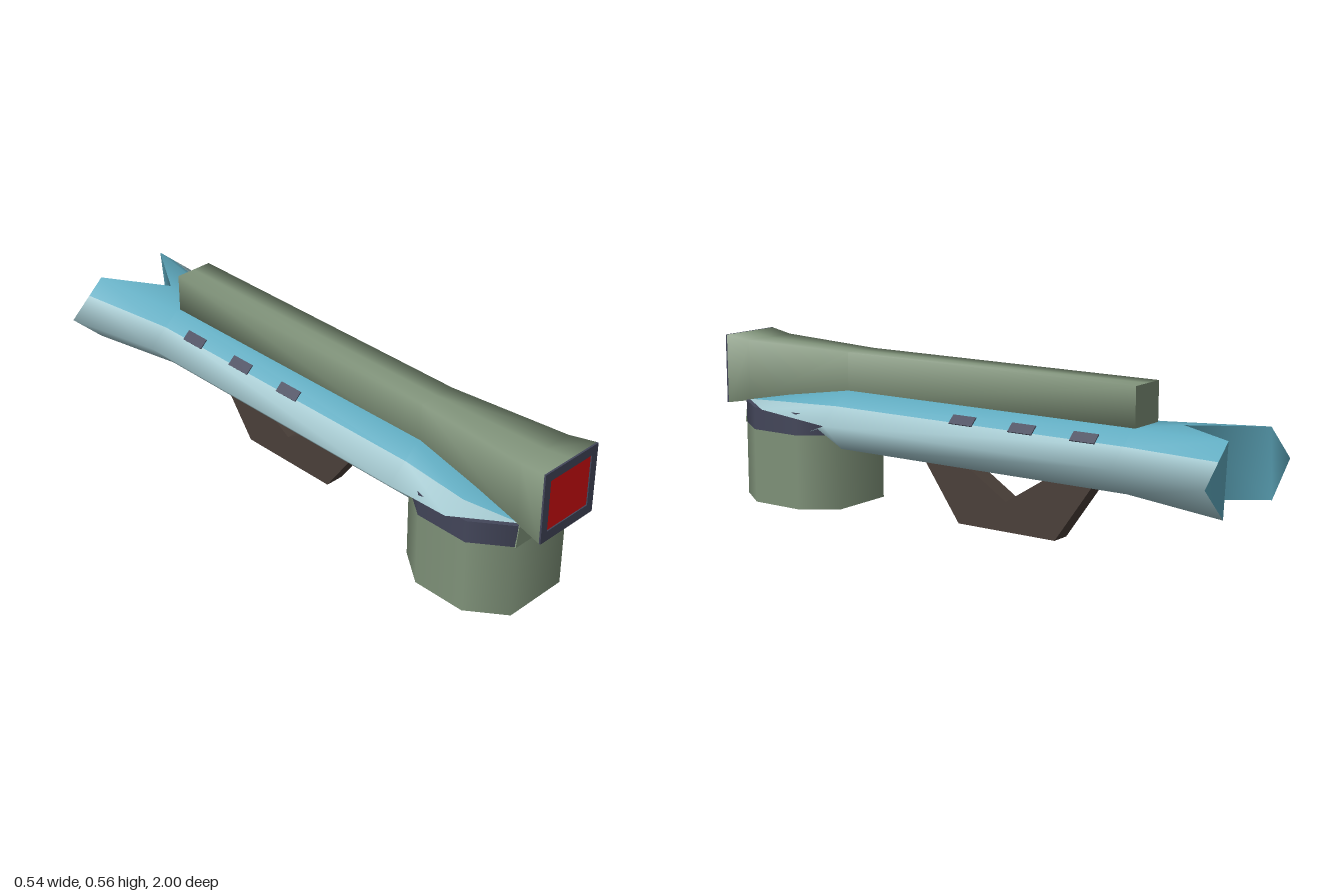
import * as THREE from 'three';
import { mergeVertices } from 'three/addons/utils/BufferGeometryUtils.js';

const mat = (name, color) => Object.assign(new THREE.MeshStandardMaterial({ color }), { name });

// Triangles between cross-sections running from back to front, outline listed top to bottom on the +x side
function loft(rows) {
  const tris = [];
  for (let s = 0; s < rows.length - 1; s++) {
    for (let i = 0; i < rows[s].length - 1; i++) {
      const a = rows[s][i], b = rows[s][i + 1], c = rows[s + 1][i + 1], d = rows[s + 1][i];
      tris.push([a, d, c], [a, c, b]);
    }
  }
  return tris;
}

// Mirrors each batch of triangles in x and joins them smoothly, one material per batch
function mirroredMesh(name, batches) {
  const pos = [], g = new THREE.BufferGeometry();
  batches.forEach(([tris], k) => {
    const start = pos.length / 3;
    for (const [a, b, c] of tris) {
      pos.push(...a, ...b, ...c);
      for (const p of [a, c, b]) pos.push(-p[0], p[1], p[2]);
    }
    g.addGroup(start, pos.length / 3 - start, k);
  });
  g.setAttribute('position', new THREE.Float32BufferAttribute(pos, 3));
  const merged = mergeVertices(g, 1e-4);
  merged.computeVertexNormals();
  const mesh = new THREE.Mesh(merged, batches.map((b) => b[1]));
  mesh.name = name;
  return mesh;
}

export function createModel() {
  const group = new THREE.Group();
  const blue = mat('blue', 0x5faabf), pale = mat('paleBlue', 0xa2c6cd), green = mat('green', 0x80937a);
  const dark = mat('darkSlate', 0x43465a), brown = mat('brown', 0x4a3f39), red = mat('red', 0xd40f10);
  const add = (name, geo, m, x = 0, y = 0, z = 0) => {
    const mesh = new THREE.Mesh(geo, m);
    mesh.name = name;
    mesh.position.set(x, y, z);
    group.add(mesh);
    return mesh;
  };

  // Hull: six-sided section with a forked tail and a pointed snout
  const sections = [
    // z, centre z, top half width, top y, side half width, side y, bottom half width, bottom y
    [-1, -0.78, 0.135, 0.42, 0.27, 0.3, 0.155, 0.19],
    [-0.65, -0.65, 0.085, 0.405, 0.2, 0.302, 0.11, 0.21],
    [0.48, 0.48, 0.085, 0.405, 0.2, 0.302, 0.11, 0.21],
    [0.73, 0.73, 0.09, 0.368, 0.23, 0.336, 0, 0],
    [0.91, 0.91, 0.1, 0.336, 0.1, 0.336, 0, 0],
  ];
  const mix = (a, b, t) => a + (b - a) * t;
  const seam = ([z, , a, yt, w, ys]) => [mix(a, w, 0.43), mix(yt, ys, 0.43), z];
  const side = (s) => [s[4], s[5], s[0]];
  const topRows = sections.map((s) => [[0, s[3], s[1]], [s[2], s[3], s[0]], seam(s)]);
  const flankRows = sections.map((s) => [seam(s), side(s)]);
  const bellyRows = sections.slice(0, 3).map((s) => [side(s), [s[6], s[7], s[0]], [0, s[7], s[1]]]);
  bellyRows.push([[0.175, 0.257, 0.6], [0.12, 0.257, 0.6], [0, 0.257, 0.6]]);
  group.add(mirroredMesh('hull', [
    [loft(topRows), blue],
    [[...loft(flankRows), ...loft(bellyRows)], pale],
  ]));

  // Inner faces and tips of the forked tail
  const [t0, t1] = topRows[0], [s1, b1, b0] = bellyRows[0];
  group.add(mirroredMesh('tailFork', [[[[t0, t1, b1], [t0, b1, b0], [t1, s1, b1]], blue]]));

  // Underside of the snout
  const jawRows = sections.slice(2).map((s) => [side(s), [0, s[5], s[0]]]);
  group.add(mirroredMesh('snoutUnderside', [[loft(jawRows), dark]]));

  // Windows on the sloping shoulders
  const slope = Math.atan2(0.103, 0.115);
  for (const sx of [-1, 1]) {
    for (const z of [-0.045, -0.275, -0.505]) {
      const w = add('window', new THREE.BoxGeometry(0.037, 0.006, 0.09), dark, sx * 0.126, 0.369, z);
      w.rotation.z = -sx * slope;
    }
  }

  // Eight-sided drum and its dark collar
  const drum = (h) => {
    const g = new THREE.CylinderGeometry(0.21, 0.21, h, 8, 1, false, Math.PI / 8);
    const p = g.attributes.position;
    const snap = (v, inner, outer) =>
      Math.abs(v) < 0.01 ? 0 : Math.sign(v) * (Math.abs(v) > 0.13 ? outer : inner);
    for (let i = 0; i < p.count; i++) {
      p.setX(i, snap(p.getX(i), 0.115, 0.203));
      p.setZ(i, snap(p.getZ(i), 0.095, 0.215));
    }
    return g;
  };
  add('drum', drum(0.257), green, 0, 0.1285, 0.695);
  add('collar', drum(0.077), dark, 0, 0.2955, 0.695);
  const plate = new THREE.Shape([[-0.119, 0], [0.119, 0], [0.108, 0.077], [-0.108, 0.077]]
    .map((p) => new THREE.Vector2(...p)));
  add('collarFrontPlate', new THREE.ExtrudeGeometry(plate, { depth: 0.004, bevelEnabled: false }),
    green, 0, 0.257, 0.909);

  // Square barrel flaring towards the muzzle
  const barrelRows = [
    // z, half width, top, bottom
    [-0.65, 0.068, 0.535, 0.39],
    [0.48, 0.068, 0.535, 0.38],
    [0.9, 0.106, 0.545, 0.333],
    [0.994, 0.118, 0.559, 0.317],
  ].map(([z, w, t, b]) => [[0, t, z], [w, t, z], [w, b, z], [0, b, z]]);
  group.add(mirroredMesh('barrel', [[loft(barrelRows), green]]));
  const [e0, e1, e2, e3] = barrelRows[0];
  group.add(mirroredMesh('barrelEnd', [[[[e0, e1, e2], [e0, e2, e3]], green]]));

  // Muzzle frame around a red panel
  const rect = (w, b, t) => [[-w, b], [w, b], [w, t], [-w, t]].map((p) => new THREE.Vector2(...p));
  const frame = new THREE.Shape(rect(0.118, 0.317, 0.559));
  frame.holes.push(new THREE.Path(rect(0.092, 0.351, 0.528)));
  add('muzzleFrame', new THREE.ExtrudeGeometry(frame, { depth: 0.006, bevelEnabled: false }), dark, 0, 0, 0.994);
  add('muzzlePanel', new THREE.BoxGeometry(0.19, 0.184, 0.006), red, 0, 0.4395, 0.993);

  // Bracket under the hull
  const bracket = new THREE.Shape([[0.2, 0.225], [0.04, 0], [-0.34, 0], [-0.5, 0.225], [-0.35, 0.225],
    [-0.15, 0.1], [0.05, 0.225]].map((p) => new THREE.Vector2(...p)));
  const bracketGeo = new THREE.ExtrudeGeometry(bracket, { depth: 0.068, bevelEnabled: false });
  bracketGeo.rotateY(-Math.PI / 2).translate(0.034, 0, 0);
  add('bracket', bracketGeo, brown);

  return group;
}
